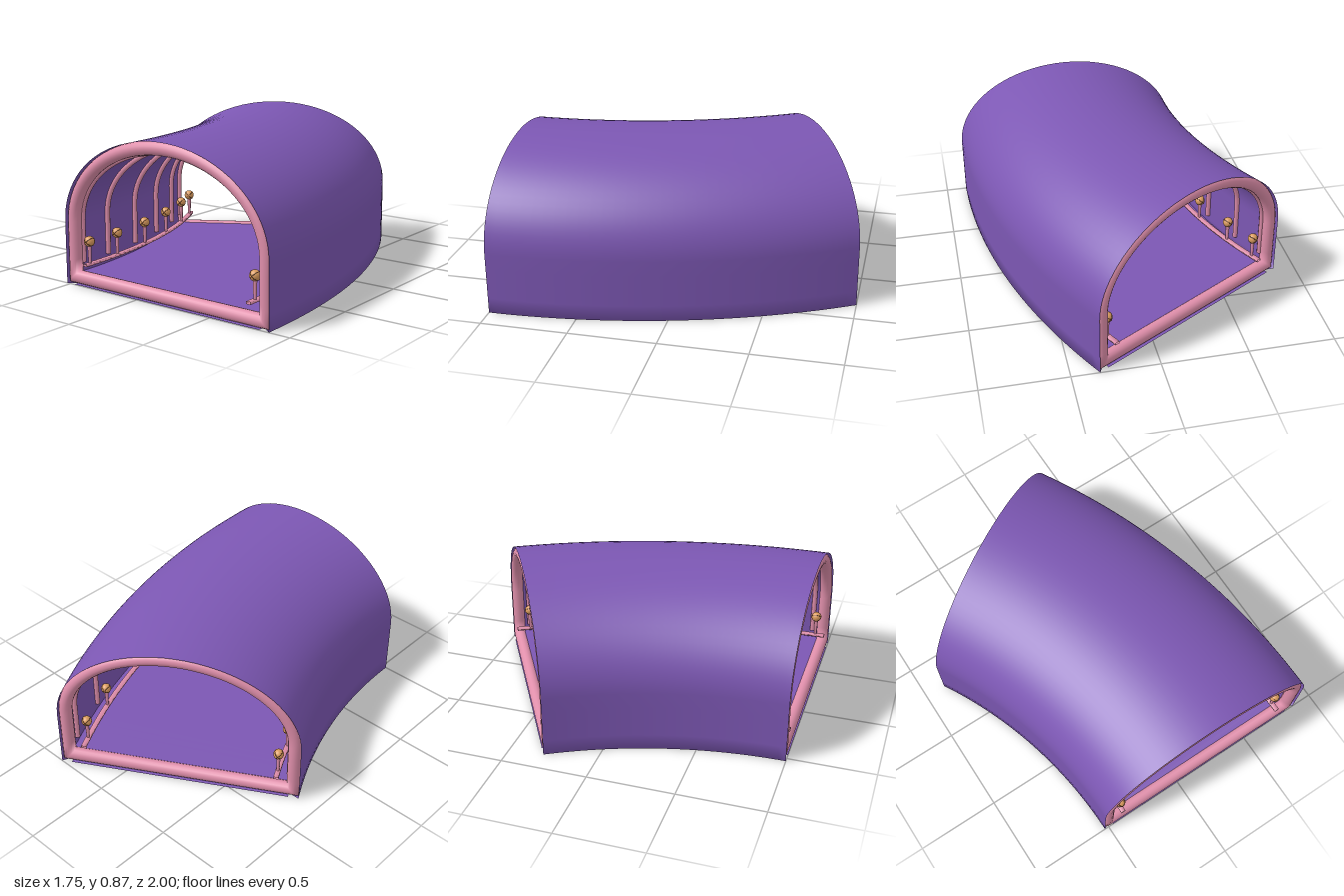
import * as THREE from 'three';
import { mergeVertices } from 'three/addons/utils/BufferGeometryUtils.js';

const SWEEP = Math.PI / 6;              // the tunnel bends by 30 degrees
const CX = -3.126, CZ = 1, R = 3.3;     // bend centre and centre-line radius
const HALF = 0.7, WALL = 0.36, RISE = 0.513, RIM = 0.038, THICK = 0.06;

const mat = (name, color) => {
  const m = new THREE.MeshStandardMaterial({ color, side: THREE.DoubleSide });
  m.name = name;
  return m;
};

// point at offset u from the centre line, height y, bend angle t
const place = (u, y, t) => new THREE.Vector3(
  CX + (R + u) * Math.cos(t), y, CZ - (R + u) * Math.sin(t));

// arch outline inset by o, from the +x foot over the top to the -x foot;
// d is how far the outline stays back from the tunnel ends
function arch(o, foot = o, d = 0, n = 40) {
  const pts = [], legs = [0, 0.25, 0.5, 0.75].map(k => foot + (WALL - foot) * k);
  for (const y of legs) pts.push([HALF - o, y, d]);
  for (let i = 0; i <= n; i++) {
    const a = Math.PI * i / n;
    pts.push([(HALF - o) * Math.cos(a), WALL + (RISE - o) * Math.sin(a), d]);
  }
  for (const y of legs.reverse()) pts.push([o - HALF, y, d]);
  return pts;
}

// smooth surface through rows of equally many points, welded where they meet
function loft(rows) {
  const pos = [], idx = [], w = rows[0].length;
  rows.forEach((row, i) => row.forEach((p, j) => {
    pos.push(p.x, p.y, p.z);
    if (i && j) {
      const a = (i - 1) * w + j - 1, b = a + w;
      idx.push(a, b, a + 1, b, b + 1, a + 1);
    }
  }));
  let g = new THREE.BufferGeometry();
  g.setAttribute('position', new THREE.Float32BufferAttribute(pos, 3));
  g.setIndex(idx);
  g = mergeVertices(g, 1e-5);
  g.computeVertexNormals();
  return g;
}

// carry a cross-section round the whole bend
function bend(section, n = 32) {
  const rows = [];
  for (let i = 0; i <= n; i++) {
    rows.push(section.map(([u, y, d]) => place(u, y, d / R + (SWEEP - 2 * d / R) * i / n)));
  }
  return loft(rows);
}

// closed rounded frame around one end
function rimGeometry(back) {
  const rows = [], n = 16;
  for (let j = 0; j <= n; j++) {
    const a = (back ? -2 : 2) * Math.PI * j / n;
    const depth = RIM * (1 + Math.sin(a));
    const loop = arch(RIM * (1 + Math.cos(a)) + 0.001);
    loop.push(loop[0]);
    rows.push(loop.map(([u, y]) => {
      const t = depth / (R + u);
      return place(u, y, back ? SWEEP - t : t);
    }));
  }
  return loft(rows);
}

export function createModel() {
  const model = new THREE.Group();
  const purple = mat('purple shell', 0x7c57b3);
  const pink = mat('pink trim', 0xe08fab);
  const gold = mat('gold lamp', 0xdb9c5e);
  const brown = mat('brown band', 0x7a4a2c);
  const add = (name, geo, m, parent = model) => {
    const mesh = new THREE.Mesh(geo, m);
    mesh.name = name;
    parent.add(mesh);
    return mesh;
  };

  // thick arched shell: outer skin, feet and inner skin in one closed section
  const section = [...arch(0, 0), ...arch(THICK, 0, 0.04).reverse()];
  section.push(section[0]);
  add('shell', bend(section), purple);

  // floor top and underside
  const inner = HALF - THICK;
  add('floorTop', bend([[inner, 0.065, 0.04], [-inner, 0.065, 0.04]]), purple);
  add('floorUnderside', bend([[-inner, 0.002, 0], [inner, 0.002, 0]]), purple);

  // end frames
  add('frontRim', rimGeometry(false), pink);
  add('backRim', rimGeometry(true), pink);

  // arched ribs inside, one close to each end
  for (let i = 0; i <= 5; i++) {
    const t = THREE.MathUtils.clamp(SWEEP * i / 5, 0.025, SWEEP - 0.025);
    const pts = arch(0.07, 0.12, 0, 24).map(([u, y]) => place(u, y, t));
    const curve = new THREE.CatmullRomCurve3(pts);
    add('rib', new THREE.TubeGeometry(curve, 72, 0.015, 8), pink);
  }

  // low flat rails with a row of ball lamps on each side
  const ball = new THREE.SphereGeometry(0.03, 16, 12);
  const band = new THREE.TorusGeometry(0.0292, 0.0022, 6, 20);
  const stem = new THREE.CylinderGeometry(0.012, 0.008, 0.11, 10);
  for (const side of [1, -1]) {
    const u = side * 0.565;
    const a = u - 0.014, b = u + 0.014;
    add('rail', bend([[b, 0.115, 0.01], [b, 0.129, 0.01], [a, 0.129, 0.01],
      [a, 0.115, 0.01], [b, 0.115, 0.01]]), pink);

    for (let i = 0; i <= 5; i++) {
      const t = THREE.MathUtils.clamp(SWEEP * i / 5, 0.018, SWEEP - 0.025);
      const lamp = new THREE.Group();
      lamp.name = 'lamp';
      lamp.position.copy(place(u, 0, t));
      lamp.rotation.y = t;
      add('lampStem', stem, pink, lamp).position.y = 0.175;
      add('lampBall', ball, gold, lamp).position.y = 0.252;
      for (const s of [1, -1]) {
        const ring = add('lampBand', band, brown, lamp);
        ring.position.y = 0.252;
        ring.rotation.set(Math.PI / 2, s * Math.PI / 4, 0);
      }
      model.add(lamp);
    }
  }
  return model;
}
